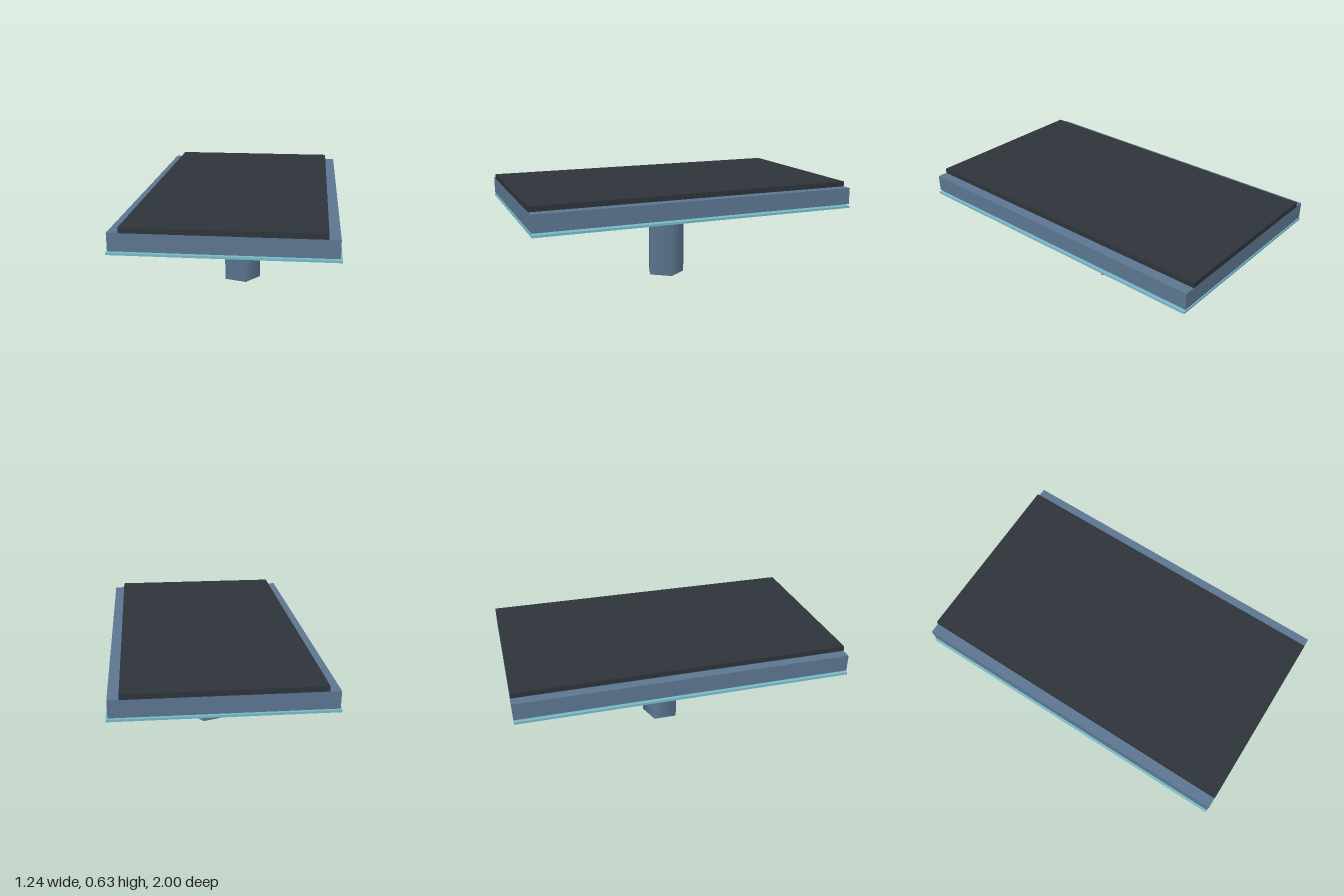
import * as THREE from 'three';

export function createModel() {
  const model = new THREE.Group();
  const steel = new THREE.MeshStandardMaterial({ name: 'steelBlue', color: 0x5c7690 });
  const dark = new THREE.MeshStandardMaterial({ name: 'charcoal', color: 0x2d343a });
  const cyan = new THREE.MeshStandardMaterial({ name: 'paleCyan', color: 0x76bac8 });

  const add = (name, geometry, material, y) => {
    const mesh = new THREE.Mesh(geometry, material);
    mesh.name = name;
    mesh.position.y = y;
    model.add(mesh);
  };
  // Full-length slab given by its width and its bottom and top heights
  const slab = (name, width, bottom, top, material) =>
    add(name, new THREE.BoxGeometry(width, top - bottom, 2), material, (bottom + top) / 2);

  // Five-sided, smooth-shaded support with one corner towards +x
  add('supportColumn', new THREE.CylinderGeometry(0.125, 0.125, 0.5, 5, 1, false, Math.PI / 2), steel, 0.25);

  // Thin plate hanging just below the deck
  slab('glowPlate', 1.244, 0.478, 0.491, cyan);
  // Main deck and the dark surface on top of it
  slab('deck', 1.222, 0.5, 0.602, steel);
  slab('deckSurface', 1.096, 0.602, 0.633, dark);

  return model;
}
